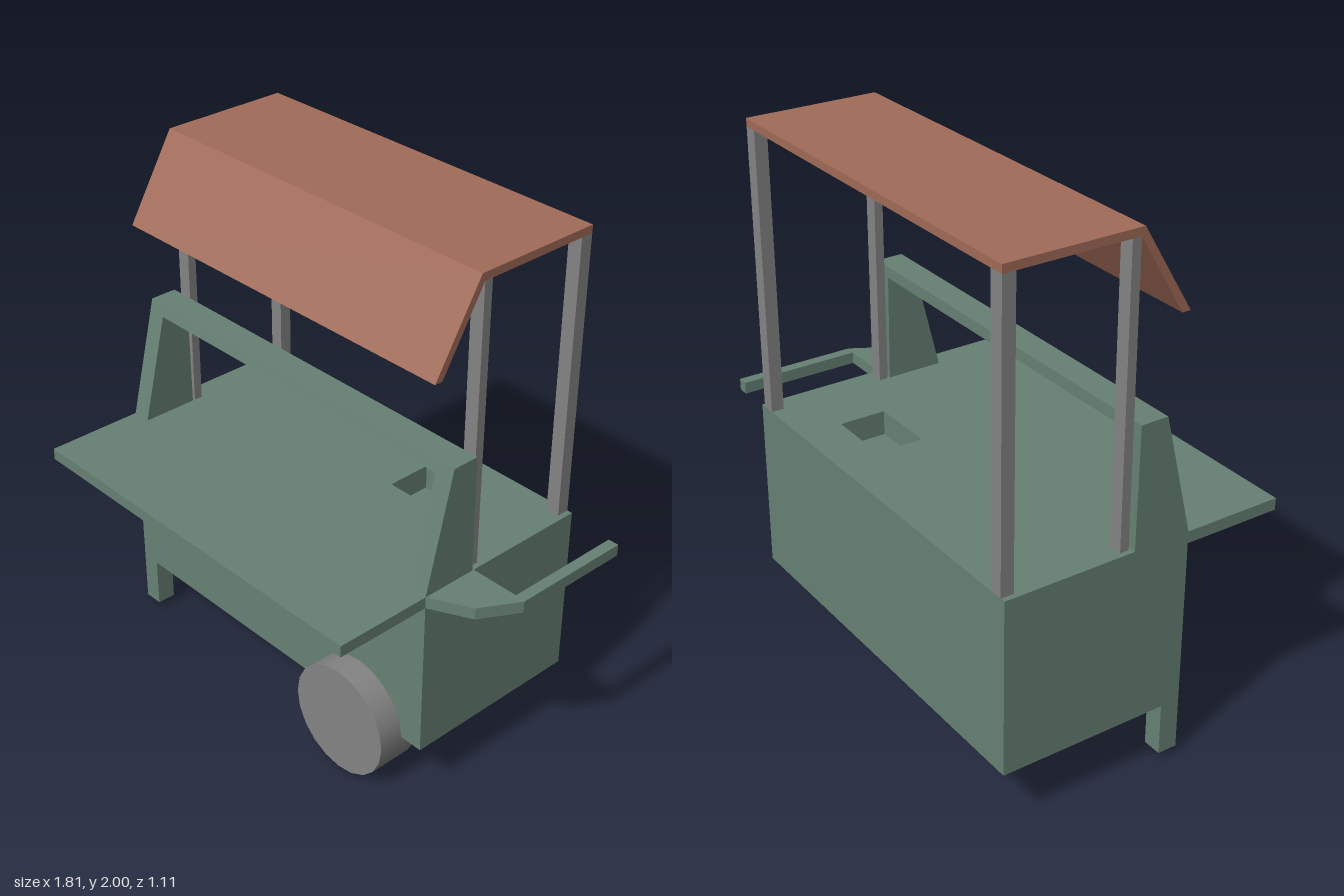
import * as THREE from 'three';

const green = new THREE.MeshStandardMaterial({ color: 0x678174 });
green.name = 'green paint';
const brown = new THREE.MeshStandardMaterial({ color: 0xa16b58 });
brown.name = 'awning brown';
const grey = new THREE.MeshStandardMaterial({ color: 0x848484 });
grey.name = 'metal grey';

const toShape = (pts) => new THREE.Shape(pts.map(([a, b]) => new THREE.Vector2(a, b)));

// Side profile in (z, y), extruded from x0 to x1
function sideExtrude(pts, x0, x1) {
  const g = new THREE.ExtrudeGeometry(toShape(pts), { depth: x1 - x0, bevelEnabled: false });
  return g.rotateY(-Math.PI / 2).translate(x1, 0, 0);
}

// Plan outline in (x, z), extruded from y0 to y1
function planExtrude(pts, y0, y1, hole) {
  const shape = toShape(pts);
  if (hole) shape.holes.push(toShape(hole));
  const g = new THREE.ExtrudeGeometry(shape, { depth: y1 - y0, bevelEnabled: false });
  return g.rotateX(Math.PI / 2).translate(0, y1, 0);
}

// Box given by its limits on each axis
function block(x0, x1, y0, y1, z0, z1) {
  return new THREE.BoxGeometry(x1 - x0, y1 - y0, z1 - z0)
    .translate((x0 + x1) / 2, (y0 + y1) / 2, (z0 + z1) / 2);
}

const rect = (x0, x1, z0, z1) => [[x0, z0], [x1, z0], [x1, z1], [x0, z1]];

export function createModel() {
  const cart = new THREE.Group();
  cart.name = 'streetCart';
  const add = (name, geometry, material) => {
    const mesh = new THREE.Mesh(geometry, material);
    mesh.name = name;
    cart.add(mesh);
  };

  const L = -0.905, R = 0.668; // body ends
  const back = -0.553, front = 0.173, top = 0.895;

  // Body, with a shallow basin let into its top
  add('body', block(L, R, 0.225, 0.8, back, front), green);
  add('bodyTop', planExtrude(rect(L, R, back, front), 0.8, top, rect(0.11, 0.37, -0.39, -0.21)), green);

  // Serving shelf over the front
  add('shelf', block(L, R, 0.85, top, front, 0.553), green);

  // Push handle on the left end
  add('handle', planExtrude([
    [R, -0.055], [0.86, -0.055], [0.86, -0.525], [0.902, -0.525],
    [0.902, -0.05], [0.82, 0.095], [R, front],
  ], 0.85, top), green);

  // Single leg and single wheel
  add('leg', block(L, -0.83, 0.025, 0.225, 0.098, front), green);
  const wheel = new THREE.CylinderGeometry(0.22, 0.22, 0.175, 20);
  add('wheel', wheel.rotateX(Math.PI / 2).translate(0.355, 0.22, 0.183), grey);

  // Front guard: two tapered sides and a top rail
  const guard = [[front, top], [0.062, 1.35], [-0.043, 1.35], [-0.048, top]];
  for (const [x0, x1] of [[L, -0.83], [0.593, R]]) add('guardSide', sideExtrude(guard, x0, x1), green);
  add('guardRail', sideExtrude([[0.073, 1.305], [0.062, 1.35], [-0.043, 1.35], [-0.043, 1.305]], -0.83, 0.593), green);

  // Canopy posts
  for (const [x0, x1] of [[-0.885, -0.83], [0.593, 0.647]]) {
    add('frontPost', block(x0, x1, top, 1.97, -0.092, -0.058), grey);
    add('backPost', block(x0, x1, top, 1.97, back, -0.504), grey);
  }

  // Flat canopy with a sloping front flap
  add('canopy', sideExtrude([
    [-0.045, 2], [0.145, 1.683], [0.113, 1.683], [-0.058, 1.97], [back, 1.97], [back, 2],
  ], -0.885, 0.647), brown);

  return cart;
}
